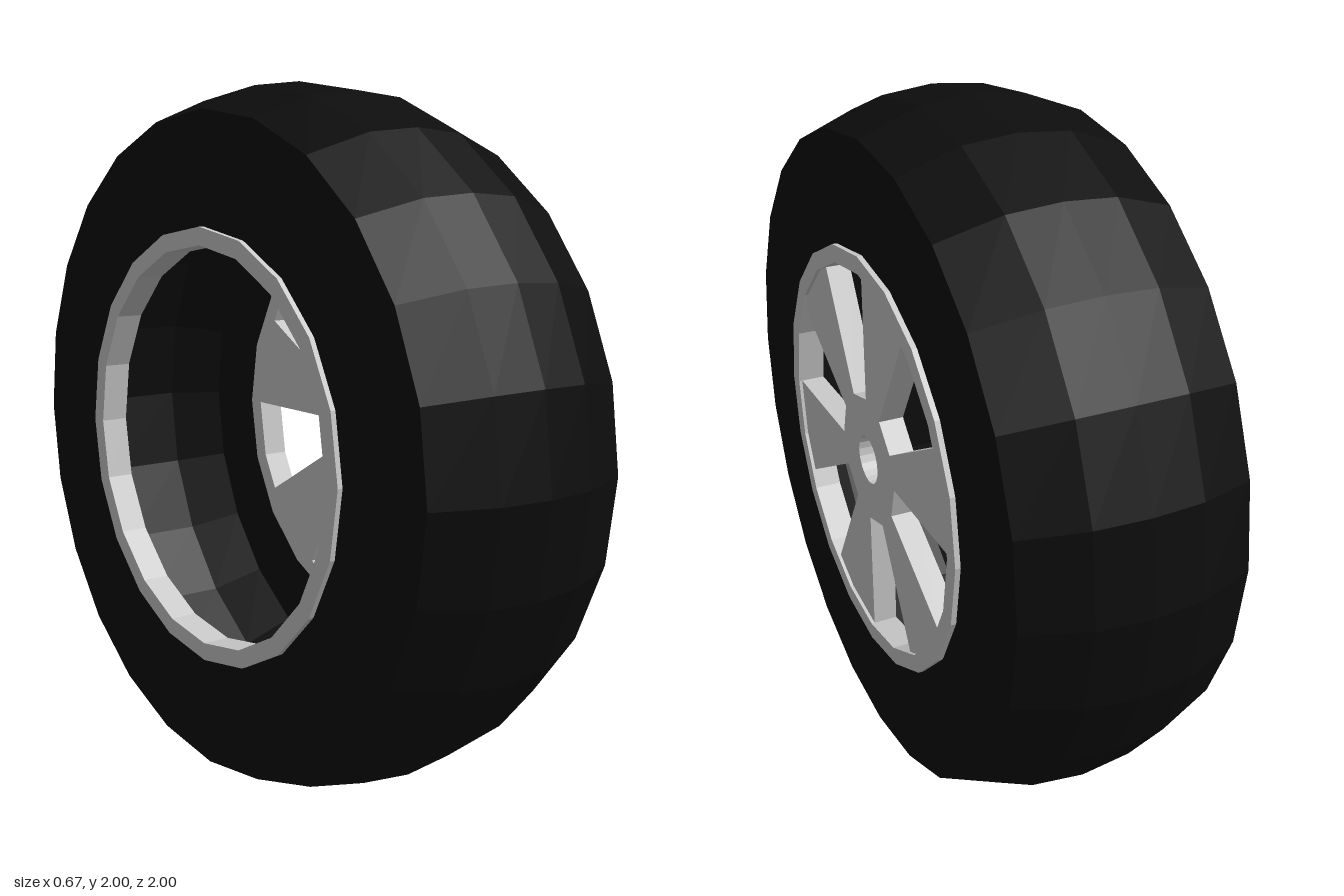
import * as THREE from 'three';

const rubber = new THREE.MeshStandardMaterial({ color: 0x0d0d0d, flatShading: true });
const metal = new THREE.MeshStandardMaterial({ color: 0xcccccc, flatShading: true });

// Revolves a closed [radius, x] profile (counter-clockwise) around the x axis
function ring(name, profile, sides, material) {
  const pts = [...profile, profile[0]].map(([r, x]) => new THREE.Vector2(r, x));
  const geometry = new THREE.LatheGeometry(pts, sides);
  geometry.rotateZ(-Math.PI / 2);
  const mesh = new THREE.Mesh(geometry, material);
  mesh.name = name;
  return mesh;
}

// Hub and six wedge spokes cut as one plate with an axle hole
function spokePlate(thickness) {
  const hubR = 0.19, tipR = 0.575, step = Math.PI / 6;
  const at = (r, a) => new THREE.Vector2(r * Math.sin(a), r * Math.cos(a));
  const outline = [];
  for (let i = 0; i < 6; i++) {
    const a = i * 2 * step;
    outline.push(at(hubR, a));
    for (let j = 0; j <= 3; j++) outline.push(at(tipR, a + (step * j) / 3));
    outline.push(at(hubR, a + step));
  }
  const shape = new THREE.Shape(outline);
  shape.holes.push(new THREE.Path().absarc(0, 0, 0.07, 0, Math.PI * 2, false));
  const geometry = new THREE.ExtrudeGeometry(shape, {
    depth: thickness, bevelEnabled: false, curveSegments: 10,
  });
  geometry.rotateY(Math.PI / 2);
  const mesh = new THREE.Mesh(geometry, metal);
  mesh.name = 'spokes';
  return mesh;
}

export function createModel() {
  const wheel = new THREE.Group();
  wheel.name = 'wheel';

  // Hollow tyre: crowned tread, flat sidewalls, open cavity inside
  wheel.add(ring('tyre', [
    [0.6, -0.32], [0.92, -0.32], [0.985, -0.15], [1, 0], [0.985, 0.15], [0.92, 0.32], [0.6, 0.32],
    [0.6, 0.26], [0.82, 0.26], [0.9, 0.12], [0.9, -0.12], [0.82, -0.26], [0.6, -0.26],
  ], 24, rubber));

  // A rim ring on each side, standing slightly proud of the sidewall
  for (const side of [1, -1]) {
    const rim = ring(side > 0 ? 'leftRim' : 'rightRim',
      [[0.56, -0.04], [0.61, -0.04], [0.61, 0.04], [0.56, 0.04]], 20, metal);
    rim.position.x = side * 0.295;
    wheel.add(rim);
  }

  // Spokes only on the outer (+x) side
  const spokes = spokePlate(0.07);
  spokes.position.x = 0.255;
  wheel.add(spokes);

  wheel.position.y = 1;
  const model = new THREE.Group();
  model.add(wheel);
  return model;
}
